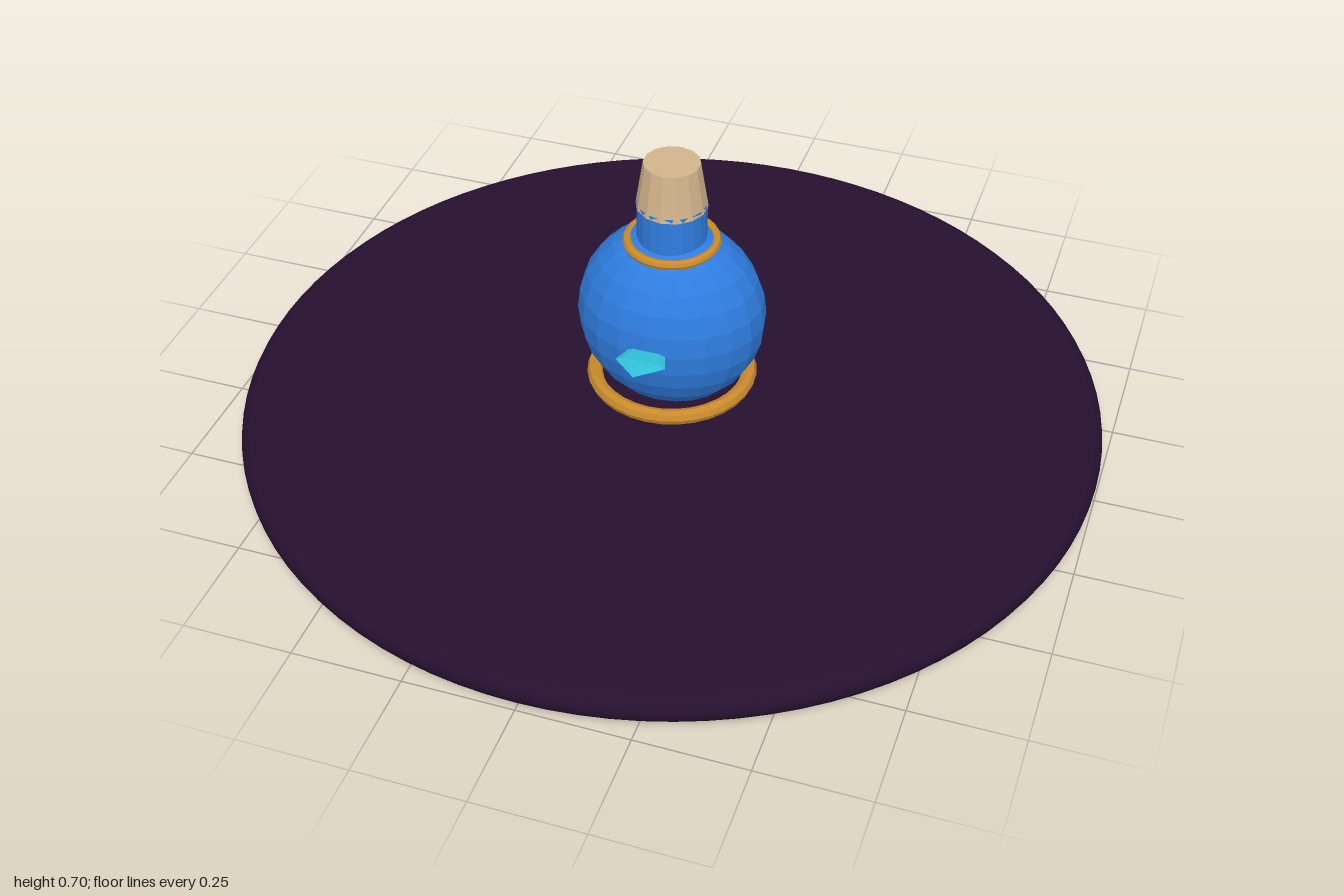
import * as THREE from 'three';

function makeMaterial(name, color, flat = true) {
  const m = new THREE.MeshStandardMaterial({ color, flatShading: flat });
  m.name = name;
  return m;
}

export function createModel() {
  const group = new THREE.Group();
  group.name = 'potionOnStand';
  const purple = makeMaterial('darkPurple', 0x26102f, false);
  const blue = makeMaterial('glassBlue', 0x2f7de0);
  const gold = makeMaterial('gold', 0xc98a2b);
  const tan = makeMaterial('cork', 0xd2b48c);
  const teal = makeMaterial('crystalTeal', 0x2fc0d8);

  function add(name, geometry, material, y = 0) {
    const mesh = new THREE.Mesh(geometry, material);
    mesh.name = name;
    mesh.position.y = y;
    group.add(mesh);
    return mesh;
  }

  // Wide disc with a rounded rim
  const r = 0.036;
  const rim = [new THREE.Vector2(0, 0)];
  for (let i = 0; i <= 10; i++) {
    const a = -Math.PI / 2 + (i / 10) * Math.PI;
    rim.push(new THREE.Vector2(1 - r + r * Math.cos(a), r + r * Math.sin(a)));
  }
  rim.push(new THREE.Vector2(0, 2 * r));
  add('baseDisc', new THREE.LatheGeometry(rim, 96), purple);

  // Bottle: squashed bulb, neck and tapered stopper
  add('bottleBody', new THREE.SphereGeometry(1, 20, 14), blue, 0.3).scale.set(0.218, 0.226, 0.185);
  add('bottleNeck', new THREE.CylinderGeometry(0.079, 0.079, 0.14, 20), blue, 0.53);
  add('stopper', new THREE.CylinderGeometry(0.064, 0.081, 0.11, 14), tan, 0.645);

  // Gold rings around the foot and the shoulder
  for (const [name, radius, tube, y] of [
    ['footRing', 0.179, 0.018, 0.129],
    ['shoulderRing', 0.1, 0.011, 0.495],
  ]) {
    add(name, new THREE.TorusGeometry(radius, tube, 8, 32).rotateX(Math.PI / 2), gold, y);
  }

  // Flat pointed crystal on the front of the bulb
  const profile = [[0, 0.12], [0.04, 0.17], [0.058, 0.22], [0, 0.27]].map(p => new THREE.Vector2(...p));
  const crystal = new THREE.LatheGeometry(profile, 8, Math.PI / 2).rotateX(Math.PI / 2);
  add('crystal', crystal, teal, 0.305).scale.y = 0.18;

  return group;
}
